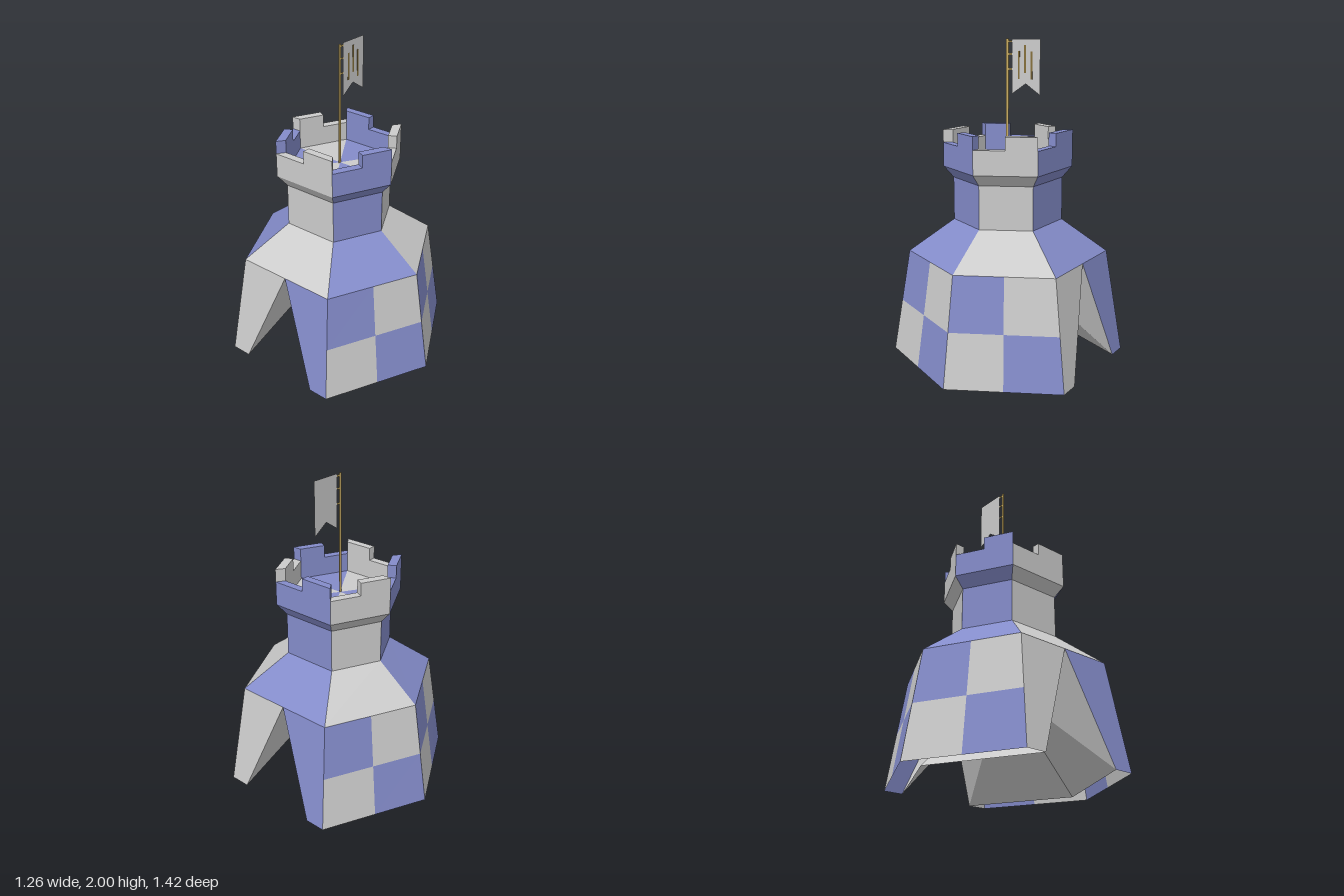
import * as THREE from 'three';

const GREY = 0xcccccc, BLUE = 0x848cca, GOLD = 0xc8ac62, BROWN = 0x85703c;

// Hexagonal rings: height y, point half-depth r, and side corner at (a, b)
const ring = (y, r, a, b) => ({ y, r, a, b });
const hem = ring(0, 0.71, 0.632, 0.395);
const middle = ring(0.335, 0.655, 0.5835, 0.365);
const eave = ring(0.67, 0.6, 0.535, 0.335);
const neck = ring(0.88, 0.325, 0.29, 0.18);
const collar = ring(1.15, 0.325, 0.29, 0.18);
const outerRim = y => ring(y, 0.385, 0.34, 0.215);
const innerRim = y => ring(y, 0.325, 0.29, 0.18);
const floorEdge = innerRim(1.25), floorCentre = ring(1.25, 0, 0, 0);
const liningHem = ring(0, 0.58, 0.632, 0.265);
const liningTop = new THREE.Vector3(0, 0.6, 0);
const SILL = 1.37, TOP = 1.45;

// Point on a ring; s runs 0..6 from the front point round by way of +x
function at({ y, r, a, b }, s) {
  const corners = [[0, r], [a, b], [a, -b], [0, -r], [-a, -b], [-a, b]];
  const i = Math.floor(s), t = s - i;
  const p = corners[i % 6], q = corners[(i + 1) % 6];
  return new THREE.Vector3(p[0] + (q[0] - p[0]) * t, y, p[1] + (q[1] - p[1]) * t);
}

// Collects flat polygons by colour and turns them into meshes
function panelSet(name, side = THREE.FrontSide) {
  const lists = new Map();
  const poly = (color, ...pts) => {
    if (!lists.has(color)) lists.set(color, []);
    const out = lists.get(color);
    for (let i = 1; i < pts.length - 1; i++) {
      const tri = [pts[0], pts[i], pts[i + 1]];
      if (new THREE.Triangle(...tri).getArea() > 1e-7) out.push(...tri);
    }
  };
  // Strip between two rings from s0 to s1
  const face = (color, from, to, s0, s1) =>
    poly(color, at(from, s0), at(from, s1), at(to, s1), at(to, s0));
  const build = () => {
    const group = new THREE.Group();
    group.name = name;
    for (const [color, pts] of lists) {
      const geo = new THREE.BufferGeometry().setFromPoints(pts);
      geo.computeVertexNormals();
      const mesh = new THREE.Mesh(geo, new THREE.MeshStandardMaterial({ color, flatShading: true, side }));
      mesh.name = name + (color === BLUE ? 'Blue' : 'Grey');
      group.add(mesh);
    }
    return group;
  };
  return { poly, face, build };
}

// Tent walls: four chequered sides and two split door sides, open below
function tentWalls() {
  const set = panelSet('tentWalls', THREE.DoubleSide);
  for (let k = 0; k < 6; k++) {
    if (k === 1 || k === 4) {
      const apex = at(eave, k + 0.5);
      set.poly(GREY, at(hem, k), at(liningHem, k), apex, at(eave, k));
      set.poly(BLUE, at(liningHem, k + 1), at(hem, k + 1), at(eave, k + 1), apex);
      continue;
    }
    for (let half = 0; half < 2; half++) {
      const s0 = k + half / 2, s1 = s0 + 0.5;
      set.face(half ? BLUE : GREY, hem, middle, s0, s1);
      set.face(half ? GREY : BLUE, middle, eave, s0, s1);
    }
  }
  return set.build();
}

// Inner lining: sloping cloth that meets under the roof and joins the door edges
function lining() {
  const set = panelSet('lining', THREE.DoubleSide);
  for (let k = 0; k < 6; k++) {
    const start = at(liningHem, k), end = at(liningHem, k + 1);
    if (k === 1 || k === 4) {
      const apex = at(eave, k + 0.5);
      set.poly(GREY, start, liningTop, apex);
      set.poly(GREY, end, apex, liningTop);
    } else {
      set.poly(GREY, start, liningTop, end);
    }
  }
  return set.build();
}

// Sloped roof, tower and flared collar, in alternating colours
function roofAndTower() {
  const set = panelSet('roofAndTower');
  const profile = [eave, neck, collar, outerRim(1.22)];
  for (let k = 0; k < 6; k++)
    for (let i = 0; i < 3; i++)
      set.face(k % 2 ? BLUE : GREY, profile[i], profile[i + 1], k, k + 1);
  return set.build();
}

// Parapet: each side is half notch, half merlon, around a floor
function parapet() {
  const set = panelSet('parapet');
  for (let k = 0; k < 6; k++) {
    const color = k % 2 ? BLUE : GREY;
    for (let half = 0; half < 2; half++) {
      const h = half ? TOP : SILL, s = k + half / 2;
      const profile = [outerRim(1.22), outerRim(h), innerRim(h), floorEdge, floorCentre];
      for (let i = 0; i < 4; i++) set.face(color, profile[i], profile[i + 1], s, s + 0.5);
    }
    // Merlon ends
    const end = s => [at(outerRim(SILL), s), at(innerRim(SILL), s), at(innerRim(TOP), s), at(outerRim(TOP), s)];
    set.poly(color, ...end(k + 0.5).reverse());
    set.poly(color, ...end(k + 1));
  }
  return set.build();
}

// Pole, ties, swallow-tailed banner and its stripes
function flag() {
  const group = new THREE.Group();
  group.name = 'flag';
  const gold = new THREE.MeshStandardMaterial({ color: GOLD });
  const brown = new THREE.MeshStandardMaterial({ color: BROWN });
  const bar = (name, material, w, h, d, x, y, z) => {
    const mesh = new THREE.Mesh(new THREE.BoxGeometry(w, h, d), material);
    mesh.name = name;
    mesh.position.set(x, y, z);
    group.add(mesh);
  };
  bar('flagPole', gold, 0.018, 0.75, 0.003, -0.004, 1.625, 0);
  for (const y of [1.985, 1.91, 1.82]) bar('flagTie', gold, 0.025, 0.01, 0.002, 0.016, y, 0);
  for (const [x, y] of [[0.078, 1.845], [0.122, 1.882], [0.167, 1.845]])
    bar('flagStripe', brown, 0.012, 0.165, 0.002, x, y, 0.001);

  const shape = new THREE.Shape([[0.028, 2], [0.028, 1.67], [0.125, 1.735], [0.225, 1.67], [0.225, 2]]
    .map(p => new THREE.Vector2(...p)));
  const cloth = new THREE.Mesh(new THREE.ShapeGeometry(shape),
    new THREE.MeshStandardMaterial({ color: GREY, side: THREE.DoubleSide }));
  cloth.name = 'flagCloth';
  cloth.position.z = -0.002;
  group.add(cloth);
  return group;
}

export function createModel() {
  const model = new THREE.Group();
  model.name = 'castleTent';
  model.add(tentWalls(), lining(), roofAndTower(), parapet(), flag());
  return model;
}
